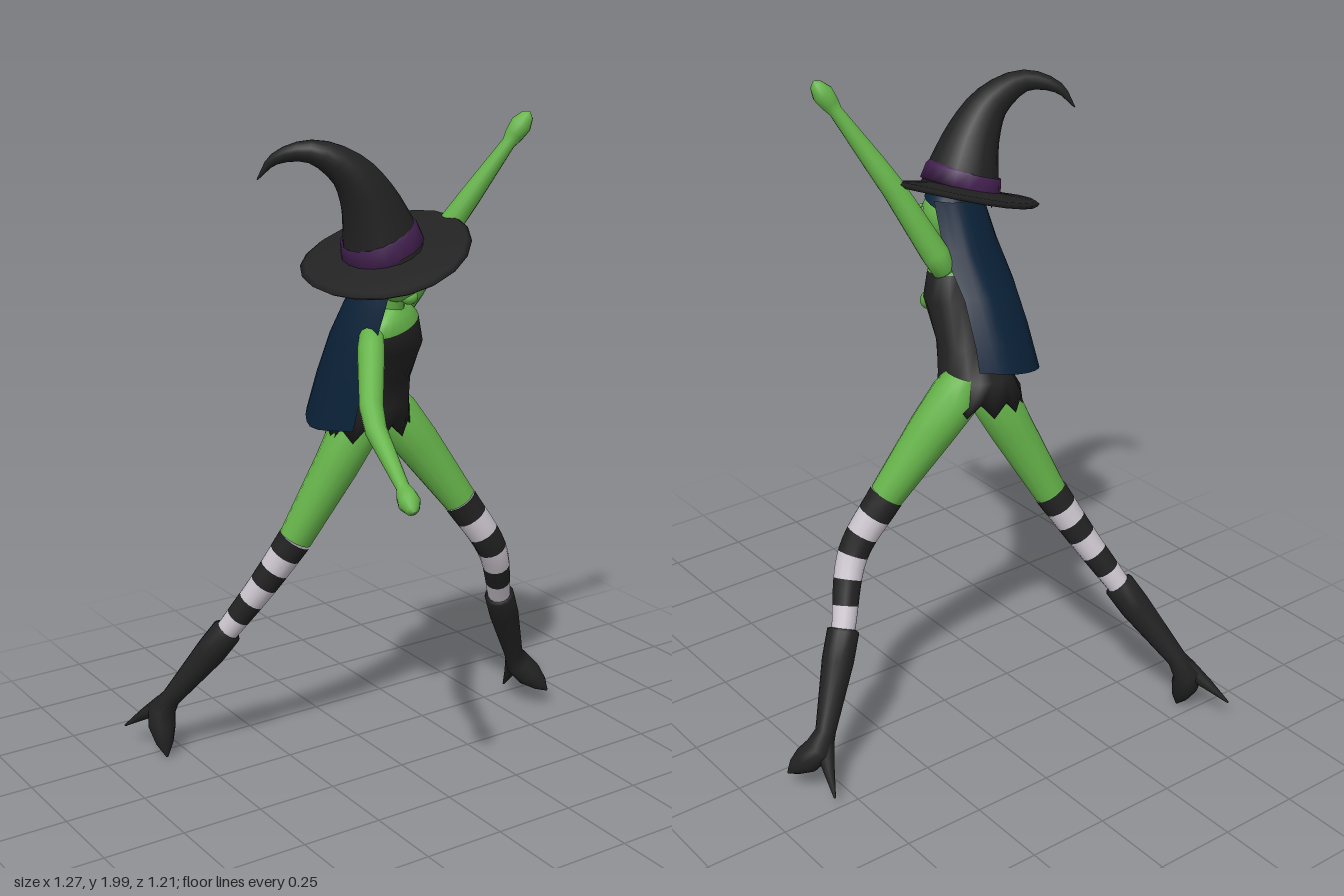
import * as THREE from 'three';

const mat = (name, color, side = THREE.FrontSide) => {
  const m = new THREE.MeshStandardMaterial({ color, side });
  m.name = name;
  return m;
};
const V = (x, y, z) => new THREE.Vector3(x, y, z);

// Skin a list of rings; mats may hold one material per segment.
function loft(name, rings, mats, closed = true) {
  const n = rings[0].length, pos = [], idx = [];
  rings.forEach(r => r.forEach(p => pos.push(p.x, p.y, p.z)));
  const g = new THREE.BufferGeometry();
  const cols = closed ? n : n - 1;
  for (let i = 0; i < rings.length - 1; i++) {
    g.addGroup(idx.length, cols * 6, i);
    for (let j = 0; j < cols; j++) {
      const k = (j + 1) % n, a = i * n + j, b = i * n + k;
      idx.push(a, a + n, b, b, a + n, b + n);
    }
  }
  if (!Array.isArray(mats)) g.clearGroups();
  g.setAttribute('position', new THREE.Float32BufferAttribute(pos, 3));
  g.setIndex(idx);
  g.computeVertexNormals();
  const mesh = new THREE.Mesh(g, mats);
  mesh.name = name;
  return mesh;
}

// Round limb through points [x, y, z, radius].
function limb(name, pts, mats, sides = 14) {
  const c = pts.map(p => V(p[0], p[1], p[2]));
  const q = new THREE.Quaternion(), turn = new THREE.Quaternion();
  let last = V(0, 1, 0);
  const rings = c.map((p, i) => {
    const t = c[Math.min(i + 1, c.length - 1)].clone().sub(c[Math.max(i - 1, 0)]).normalize();
    q.premultiply(turn.setFromUnitVectors(last, t));
    last = t;
    return Array.from({ length: sides }, (_, j) => {
      const a = j / sides * Math.PI * 2;
      return V(Math.cos(a) * pts[i][3], 0, Math.sin(a) * pts[i][3]).applyQuaternion(q).add(p);
    });
  });
  return loft(name, rings, mats, true);
}

// Points [x, y, z, r] spread evenly along a smooth curve.
function spread(pts, n) {
  const curve = new THREE.CatmullRomCurve3(pts.map(p => V(p[0], p[1], p[2])));
  return Array.from({ length: n + 1 }, (_, i) => {
    const u = i / n, p = curve.getPoint(u), s = u * (pts.length - 1);
    const k = Math.min(Math.floor(s), pts.length - 2);
    return [p.x, p.y, p.z, THREE.MathUtils.lerp(pts[k][3], pts[k + 1][3], s - k)];
  });
}

export function createModel() {
  const model = new THREE.Group();
  const skin = mat('green skin', 0x66b44a);
  const black = mat('black cloth', 0x222222);
  const white = mat('pale stripe', 0xcdc6cf);
  const blue = mat('dark blue hair', 0x0b2239, THREE.DoubleSide);
  const purple = mat('purple band', 0x42204f);
  const add = (...m) => model.add(...m);

  // Dress: rings [x, y, z, halfWidth, halfDepth, yaw, roll, hemZigzag]
  const body = [
    [-0.055, 1.14, -0.09, 0.01, 0.01, 0, 0, 0],
    [-0.053, 1.085, -0.097, 0.13, 0.118, 0.05, 0.05, 0.022],
    [-0.052, 1.16, -0.075, 0.105, 0.108, 0.12, 0, 0],
    [-0.052, 1.24, -0.04, 0.092, 0.088, 0.25, 0.05, 0],
    [-0.065, 1.35, 0.025, 0.108, 0.095, 0.45, 0.15, 0],
    [-0.077, 1.42, 0.05, 0.112, 0.075, 0.55, 0.22, 0],
    [-0.083, 1.455, 0.06, 0.085, 0.05, 0.58, 0.22, 0],
    [-0.08, 1.475, 0.065, 0.03, 0.03, 0.58, 0.1, 0],
  ].map(([x, y, z, rx, rz, yaw, roll, zig]) => Array.from({ length: 20 }, (_, j) => {
    const a = j / 20 * Math.PI * 2, lx = Math.cos(a) * rx, lz = Math.sin(a) * rz;
    return V(x + lx * Math.cos(yaw) + lz * Math.sin(yaw),
      y + lx * roll + (j % 2 ? zig : -zig),
      z - lx * Math.sin(yaw) + lz * Math.cos(yaw));
  }));
  add(loft('dress', body, [black, black, black, black, black, skin, skin]));
  add(limb('neck', [[-0.075, 1.44, 0.055, 0.042], [-0.08, 1.48, 0.07, 0.034], [-0.085, 1.56, 0.095, 0.034]], skin));

  // Arms, with rounded shoulder and hand
  add(limb('leftArm', [
    [-0.02, 1.44, 0.005, 0.01], [0.0, 1.455, 0.002, 0.035], [0.02, 1.5, 0.015, 0.04], [0.11, 1.69, 0.085, 0.034],
    [0.15, 1.765, 0.12, 0.03], [0.232, 1.91, 0.18, 0.019], [0.245, 1.932, 0.187, 0.026],
    [0.262, 1.96, 0.196, 0.03], [0.278, 1.985, 0.203, 0.018], [0.283, 1.995, 0.206, 0.002]], skin));
  add(limb('rightArm', [
    [-0.165, 1.425, 0.11, 0.01], [-0.185, 1.41, 0.125, 0.034], [-0.21, 1.38, 0.16, 0.038], [-0.295, 1.265, 0.29, 0.033],
    [-0.32, 1.22, 0.35, 0.03], [-0.35, 1.115, 0.52, 0.018], [-0.356, 1.1, 0.545, 0.027],
    [-0.363, 1.088, 0.57, 0.03], [-0.367, 1.076, 0.592, 0.018], [-0.368, 1.073, 0.602, 0.002]], skin));

  // Legs: thigh, striped stocking, boot and heel
  const legs = {
    left: {
      thigh: [[0.01, 1.17, -0.1, 0.05], [0.03, 1.11, -0.095, 0.074], [0.1, 1.01, -0.07, 0.068], [0.225, 0.82, -0.022, 0.051]],
      stocking: [[0.225, 0.82, -0.022, 0.053], [0.33, 0.65, 0.002, 0.046], [0.415, 0.45, -0.065, 0.035]],
      boot: [[0.41, 0.462, -0.06, 0.03], [0.413, 0.455, -0.063, 0.047], [0.45, 0.38, -0.087, 0.047], [0.535, 0.2, -0.142, 0.03],
        [0.56, 0.155, -0.148, 0.043], [0.59, 0.115, -0.125, 0.042], [0.615, 0.085, -0.1, 0.025], [0.633, 0.062, -0.085, 0.003]],
      heel: [[0.55, 0.165, -0.155, 0.03], [0.562, 0.105, -0.195, 0.017], [0.575, 0.04, -0.243, 0.003]],
    },
    right: {
      thigh: [[-0.085, 1.15, -0.085, 0.05], [-0.1, 1.08, -0.095, 0.074], [-0.15, 0.97, -0.12, 0.066], [-0.258, 0.745, -0.18, 0.05]],
      stocking: [[-0.258, 0.745, -0.18, 0.052], [-0.332, 0.6, -0.242, 0.044], [-0.42, 0.43, -0.33, 0.035]],
      boot: [[-0.413, 0.442, -0.322, 0.03], [-0.418, 0.435, -0.326, 0.047], [-0.453, 0.365, -0.365, 0.047], [-0.542, 0.195, -0.468, 0.03],
        [-0.562, 0.15, -0.495, 0.043], [-0.568, 0.1, -0.485, 0.042], [-0.571, 0.05, -0.465, 0.027], [-0.572, 0.008, -0.45, 0.003]],
      heel: [[-0.56, 0.17, -0.49, 0.03], [-0.6, 0.12, -0.55, 0.017], [-0.636, 0.07, -0.607, 0.003]],
    },
  };
  for (const [side, p] of Object.entries(legs)) {
    add(limb(side + 'Thigh', p.thigh, skin),
      limb(side + 'Stocking', spread(p.stocking, 12),
        Array.from({ length: 12 }, (_, i) => Math.floor(i / 2) % 2 ? white : black)),
      limb(side + 'Boot', p.boot, black), limb(side + 'Heel', p.heel, black, 8));
  }

  // Head turned to its left, with long nose, chin, eyes and smile
  const head = new THREE.Group();
  head.name = 'head';
  head.position.set(-0.085, 1.575, 0.1);
  head.rotation.y = 0.75;
  const ball = (name, m, x, y, z, sx, sy, sz) => {
    const b = new THREE.Mesh(new THREE.SphereGeometry(1, 18, 12), m);
    b.name = name;
    b.position.set(x, y, z);
    b.scale.set(sx, sy, sz);
    head.add(b);
  };
  const faceZ = (x, y) => 0.074 * Math.sqrt(1 - (x / 0.07) ** 2 - (y / 0.085) ** 2);
  ball('face', skin, 0, 0, 0, 0.07, 0.085, 0.074);
  ball('chin', skin, 0, -0.07, 0.035, 0.025, 0.022, 0.025);
  for (const s of [-1, 1]) {
    ball('eye', white, s * 0.027, 0.018, faceZ(0.027, 0.018), 0.012, 0.007, 0.004);
    ball('pupil', black, s * 0.027, 0.018, faceZ(0.027, 0.018) + 0.003, 0.005, 0.006, 0.003);
  }
  head.add(limb('nose', [[0, 0.012, 0.06, 0.018], [0, 0.008, 0.085, 0.012], [0, 0.008, 0.115, 0.002]], skin, 8));
  const smile = [-1, -0.5, 0, 0.5, 1].map(u => {
    const x = u * 0.036, y = -0.045 + 0.02 * u * u;
    return V(x, y, faceZ(x, y));
  });
  const mouth = new THREE.Mesh(new THREE.TubeGeometry(new THREE.CatmullRomCurve3(smile), 16, 0.004, 6), black);
  mouth.name = 'mouth';
  head.add(mouth);
  const cap = new THREE.Mesh(new THREE.SphereGeometry(0.086, 18, 8, 0, Math.PI * 2, 0, 1.35), blue);
  cap.name = 'hairCap';
  cap.position.set(0, 0.008, -0.008);
  cap.rotation.x = -0.35;
  head.add(cap);
  add(head);

  // Long hair draped behind the back: rows from the bottom up
  const hairRows = [
    [[0.02, 1.21, -0.19], [-0.08, 1.19, -0.222], [-0.2, 1.16, -0.18], [-0.28, 1.125, -0.05], [-0.245, 1.145, 0.12]],
    [[0.01, 1.27, -0.16], [-0.075, 1.27, -0.187], [-0.2, 1.27, -0.13], [-0.262, 1.27, 0], [-0.225, 1.27, 0.14]],
    [[0, 1.39, -0.095], [-0.07, 1.39, -0.125], [-0.185, 1.39, -0.08], [-0.242, 1.39, 0.03], [-0.2, 1.39, 0.163]],
    [[0, 1.5, 0], [-0.06, 1.5, -0.05], [-0.165, 1.5, -0.02], [-0.222, 1.5, 0.07], [-0.17, 1.5, 0.175]],
    [[-0.005, 1.64, 0.055], [-0.05, 1.64, 0.005], [-0.145, 1.64, 0.02], [-0.18, 1.64, 0.1], [-0.13, 1.64, 0.178]],
  ].map(r => new THREE.CatmullRomCurve3(r.map(p => V(...p))).getPoints(16).reverse());
  add(loft('hair', hairRows, blue, false));

  // Hat: tilted brim, bent crown and band
  const brim = [[0.06, -0.012], [0.15, -0.012], [0.222, -0.01], [0.235, 0], [0.222, 0.008], [0.16, 0.008], [0.09, 0.016]]
    .map(([r, h]) => Array.from({ length: 20 }, (_, j) => {
      const a = j / 20 * Math.PI * 2, dx = r * Math.cos(a), dz = r * Math.sin(a);
      return V(-0.122 + dx, 1.635 + h + 0.3 * dx - 0.15 * dz - 0.3 * dz * dz, 0.101 + dz);
    }));
  add(loft('hatBrim', brim, black));
  add(limb('hatCrown', spread([
    [-0.125, 1.62, 0.1, 0.116], [-0.15, 1.7, 0.106, 0.1], [-0.19, 1.79, 0.113, 0.076], [-0.25, 1.87, 0.11, 0.053],
    [-0.345, 1.921, 0.08, 0.031], [-0.42, 1.9, 0.022, 0.016], [-0.455, 1.845, -0.01, 0.002]], 18), black, 18));
  add(limb('hatBand', [
    [-0.132, 1.645, 0.102, 0.108], [-0.133, 1.646, 0.102, 0.117], [-0.147, 1.688, 0.105, 0.109], [-0.148, 1.69, 0.105, 0.098]], purple, 18));
  return model;
}
